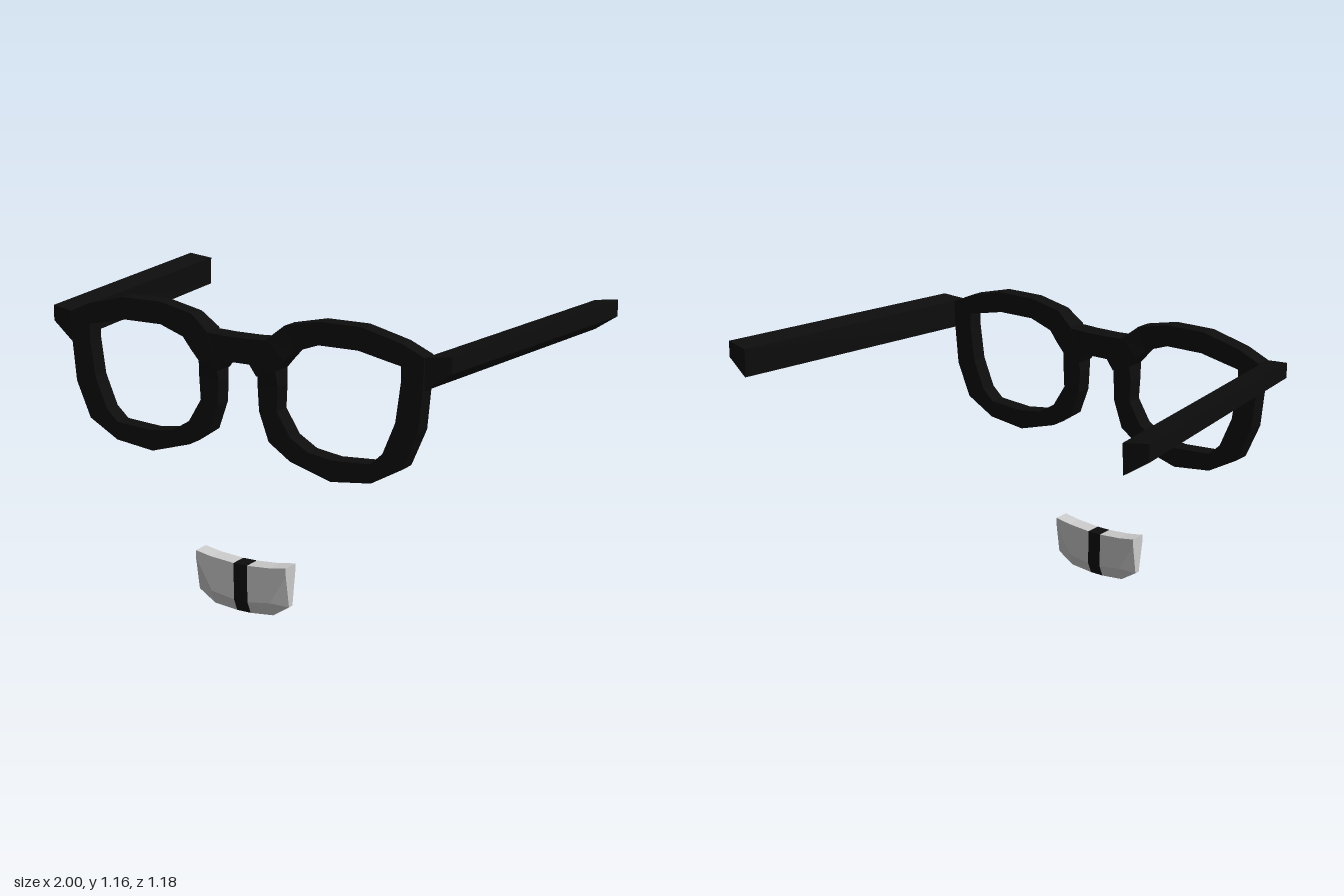
import * as THREE from 'three';

const black = new THREE.MeshStandardMaterial({ color: 0x0d0d0d, flatShading: true });
const grey = new THREE.MeshStandardMaterial({ color: 0xcccccc, flatShading: true });
const Z = 0.545; // depth centre of the front frame

// Skin a row of cross-sections; either joined in a ring or capped at both ends
function loft(sections, ring = false) {
  const pos = [];
  const tri = (a, b, c) => pos.push(...a, ...b, ...c);
  const n = sections[0].length;
  const count = ring ? sections.length : sections.length - 1;
  for (let i = 0; i < count; i++) {
    const s = sections[i], t = sections[(i + 1) % sections.length];
    for (let j = 0; j < n; j++) {
      const k = (j + 1) % n;
      tri(s[j], s[k], t[k]);
      tri(s[j], t[k], t[j]);
    }
  }
  if (!ring) {
    const first = sections[0], last = sections[sections.length - 1];
    for (let j = 1; j < n - 1; j++) {
      tri(first[0], first[j + 1], first[j]);
      tri(last[0], last[j], last[j + 1]);
    }
  }
  const geo = new THREE.BufferGeometry();
  geo.setAttribute('position', new THREE.Float32BufferAttribute(pos, 3));
  geo.computeVertexNormals();
  return geo;
}

// Mirror sections across x = 0, keeping faces outward
const mirror = (sections) =>
  sections.map((s) => s.map(([x, y, z]) => [-x, y, z]).reverse());

// Rim: outer x, outer y, inner x, inner y, half depth
const rim = [
  [0.76, 1.08, 0.67, 1.04, 0.034], [0.67, 1.12, 0.62, 1.05, 0.034],
  [0.51, 1.16, 0.50, 1.075, 0.034], [0.34, 1.16, 0.34, 1.075, 0.034],
  [0.20, 1.13, 0.24, 1.04, 0.034], [0.13, 1.075, 0.20, 1.0, 0.043],
  [0.09, 0.96, 0.165, 0.96, 0.043], [0.085, 0.89, 0.17, 0.90, 0.034],
  [0.09, 0.80, 0.165, 0.81, 0.034], [0.13, 0.69, 0.22, 0.72, 0.034],
  [0.22, 0.63, 0.295, 0.675, 0.034], [0.39, 0.58, 0.40, 0.66, 0.034],
  [0.555, 0.60, 0.55, 0.67, 0.034], [0.68, 0.67, 0.60, 0.715, 0.034],
  [0.74, 0.81, 0.65, 0.835, 0.034], [0.755, 0.97, 0.67, 0.98, 0.034],
].map(([ox, oy, ix, iy, h]) => [
  [ox, oy, Z + h], [ox, oy, Z - h], [ix, iy, Z - h], [ix, iy, Z + h],
]);

// Temple arm, front end to back end, with a slanted underside
const temple = [
  [[0.76, 1.08, 0.575], [0.855, 1.09, 0.56], [0.855, 1.03, 0.56], [0.76, 0.963, 0.575]],
  [[0.90, 1.09, -0.59], [1.0, 1.105, -0.578], [1.0, 1.038, -0.578], [0.905, 0.975, -0.59]],
];

// Bridge: x, top, bottom, half depth
const bridge = [
  [-0.15, 1.07, 0.97, 0.042], [-0.085, 1.068, 0.93, 0.042], [-0.055, 1.066, 0.972, 0.043],
  [0.055, 1.066, 0.972, 0.043], [0.085, 1.068, 0.93, 0.042], [0.15, 1.07, 0.97, 0.042],
].map(([x, t, b, h]) => [[x, t, Z - h], [x, t, Z + h], [x, b, Z + h], [x, b, Z - h]]);

// Tooth slice: thick top, straight to mid height, thin biting edge
const slice = ([x, top, mid, bottom]) => [
  [x, top, Z - 0.034], [x, top, Z + 0.034], [x, mid, Z + 0.034],
  [x, bottom, Z + 0.012], [x, bottom, Z - 0.012], [x, mid, Z - 0.034],
];
const tooth = [
  [0.03, 0.195, 0.05, 0], [0.13, 0.203, 0.065, 0.01], [0.2, 0.215, 0.185, 0.055],
].map(slice);
const gap = [[-0.03, 0.195, 0.05, 0], [0.03, 0.195, 0.05, 0]].map(slice);

export function createModel() {
  const model = new THREE.Group();
  const add = (name, geo, mat) => {
    const mesh = new THREE.Mesh(geo, mat);
    mesh.name = name;
    model.add(mesh);
  };
  for (const [side, place] of [['left', (s) => s], ['right', mirror]]) {
    add(side + 'Rim', loft(place(rim), true), black);
    add(side + 'Temple', loft(place(temple)), black);
    add(side + 'Tooth', loft(place(tooth)), grey);
  }
  add('bridge', loft(bridge), black);
  add('toothGap', loft(gap), black);
  return model;
}
